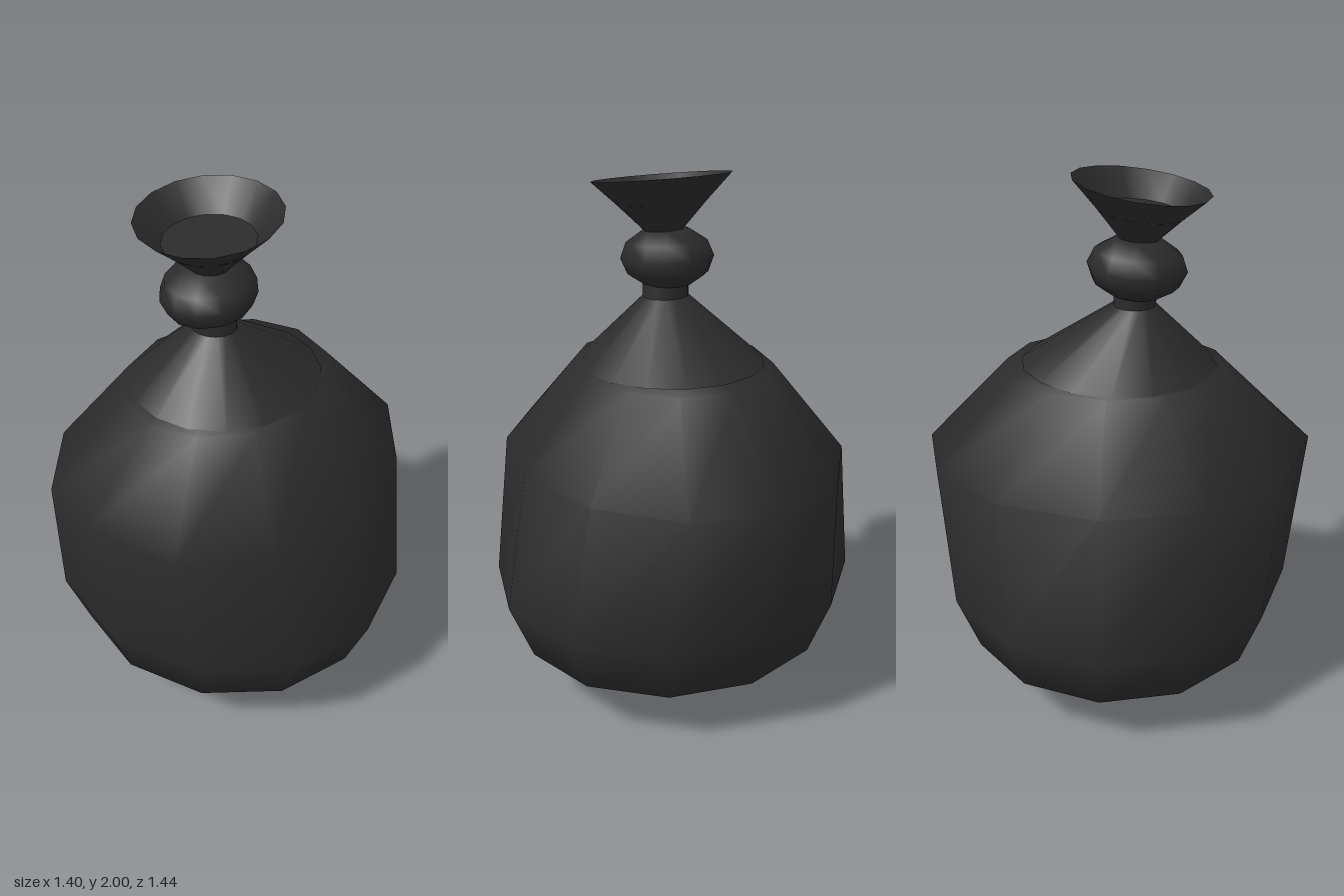
import * as THREE from 'three';

// Smooth skin through elliptical rings: { y, rx, rz, x, z, tilt }, listed from bottom to top.
// tilt lifts the back edge and drops the front edge; rx = 0 makes a pole.
function loft(rings, sides, lift = () => 0) {
  const pos = [], index = [];
  rings.forEach(({ y, rx, rz = rx, x = 0, z = 0, tilt = 0 }, j) => {
    for (let i = 0; i < sides; i++) {
      const a = (i / sides) * Math.PI * 2;
      pos.push(x + rx * Math.sin(a), y - tilt * Math.cos(a) + lift(j, i), z + rz * Math.cos(a));
    }
  });
  for (let j = 0; j < rings.length - 1; j++) {
    for (let i = 0; i < sides; i++) {
      const n = (i + 1) % sides;
      const a = j * sides + i, b = j * sides + n, c = a + sides, d = b + sides;
      if (rings[j].rx > 0) index.push(a, b, d);
      if (rings[j + 1].rx > 0) index.push(a, d, c);
    }
  }
  const g = new THREE.BufferGeometry();
  g.setAttribute('position', new THREE.Float32BufferAttribute(pos, 3));
  g.setIndex(index);
  g.computeVertexNormals();
  // all copies of a pole point share one upright normal
  const nor = g.attributes.normal;
  rings.forEach((r, j) => {
    if (r.rx > 0) return;
    for (let i = 0; i < sides; i++) nor.setXYZ(j * sides + i, 0, j === 0 ? -1 : 1, 0);
  });
  return g;
}

export function createModel() {
  const group = new THREE.Group();
  const black = new THREE.MeshStandardMaterial({ color: 0x2b2b2b, side: THREE.DoubleSide });
  black.name = 'black plastic';
  const add = (name, geometry) => {
    const mesh = new THREE.Mesh(geometry, black);
    mesh.name = name;
    group.add(mesh);
    return mesh;
  };

  // Full sack, with one front corner pushed up a little
  add('sackBody', loft([
    { y: 0, rx: 0 },
    { y: 0.06, rx: 0.355, rz: 0.33 },
    { y: 0.23, rx: 0.61, rz: 0.575 },
    { y: 0.455, rx: 0.7, rz: 0.66 },
    { y: 0.98, rx: 0.61, rz: 0.718 },
    { y: 1.305, rx: 0.355, rz: 0.41 },
    { y: 1.35, rx: 0 },
  ], 12, (j, i) => (j === 4 && i === 0 ? 0.06 : 0)));

  // Gathered shoulder rising to the neck
  add('gatheredShoulder', loft([
    { y: 1.305, rx: 0.34, rz: 0.37, z: 0.018, tilt: 0.012 },
    { y: 1.54, rx: 0.087, rz: 0.075, x: -0.007, z: 0.065 },
  ], 16));

  // Short neck below the knot
  add('neck', loft([
    { y: 1.53, rx: 0.087, rz: 0.077, x: -0.007, z: 0.065 },
    { y: 1.6, rx: 0.087, rz: 0.077, x: -0.01, z: 0.07 },
  ], 16));

  // Knot
  const knot = add('knot', new THREE.SphereGeometry(1, 12, 6));
  knot.scale.set(0.168, 0.115, 0.18);
  knot.rotation.x = 0.08;
  knot.position.set(-0.02, 1.678, 0.075);

  // Flared open end, tilted toward the front
  const mouth = [
    { y: 1.775, rx: 0.068, x: -0.007, z: 0.083 },
    { y: 1.875, rx: 0.165, rz: 0.158, x: -0.007, z: 0.086, tilt: 0.018 },
    { y: 1.965, rx: 0.257, rz: 0.246, x: -0.007, z: 0.088, tilt: 0.035 },
  ];
  add('flaredEnd', loft(mouth, 16));

  // Closed floor inside the flare
  add('flareFloor', loft([mouth[1], { ...mouth[1], rx: 0, rz: 0, tilt: 0 }], 24));

  return group;
}
